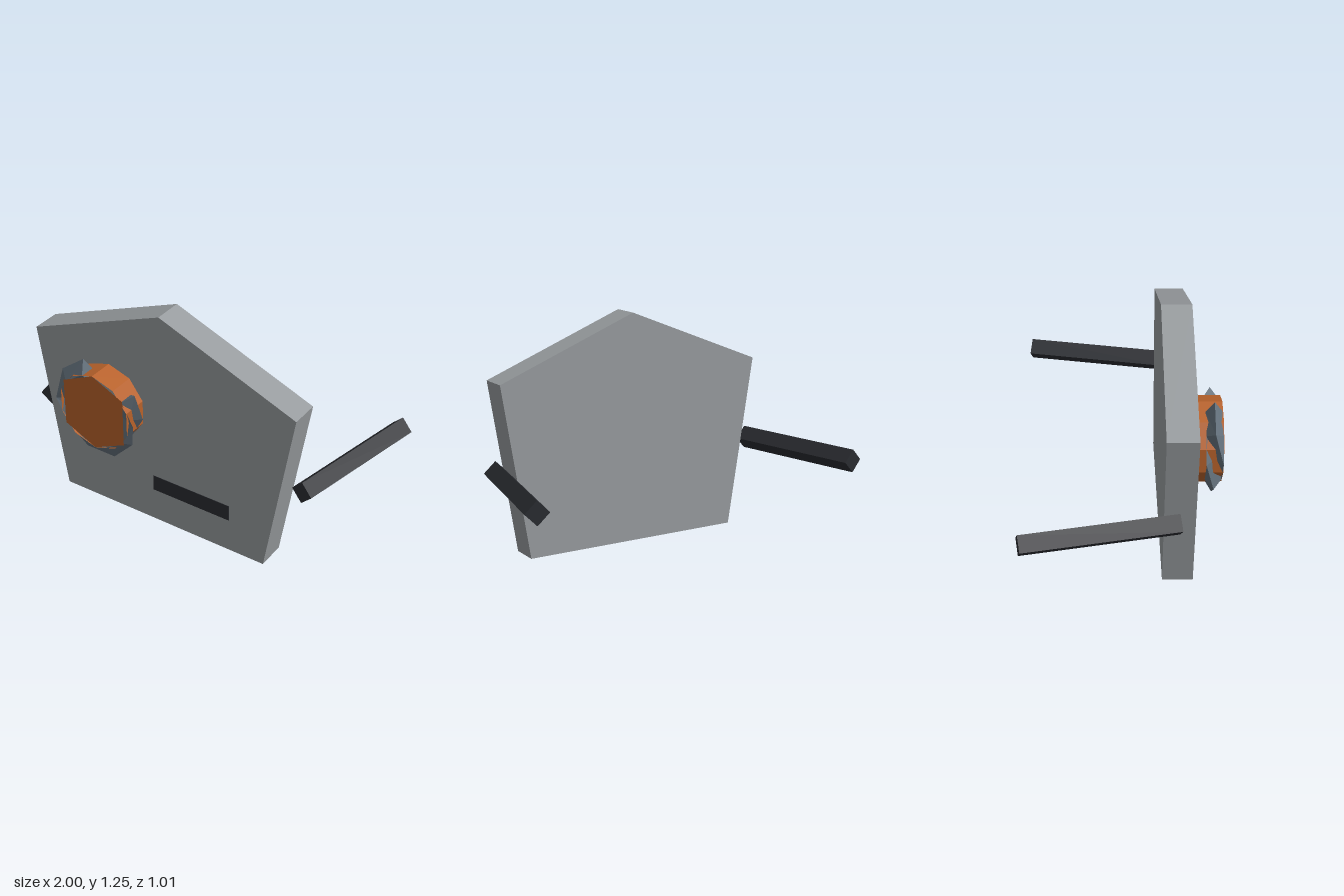
import * as THREE from 'three';

const paint = (color, side = THREE.FrontSide) =>
  new THREE.MeshStandardMaterial({ color, side, flatShading: true });

function add(parent, name, geometry, material) {
  const mesh = new THREE.Mesh(geometry, material);
  mesh.name = name;
  parent.add(mesh);
  return mesh;
}

const outline = (pts) => new THREE.Shape(pts.map(([x, y]) => new THREE.Vector2(x, y)));

// Jagged faceted band: each section is [angle in degrees, ridge radius, side radius]
function jaggedBand(sections, halfWidth) {
  const pos = [], idx = [];
  sections.forEach(([deg, ridge, side]) => {
    const a = THREE.MathUtils.degToRad(deg), c = Math.cos(a), s = Math.sin(a);
    [[side, halfWidth], [ridge, 0], [side, -halfWidth], [0.15, 0]].forEach(([r, z]) => pos.push(r * c, r * s, z));
  });
  for (let i = 0; i < sections.length - 1; i++) {
    for (let j = 0; j < 4; j++) {
      const a = i * 4 + j, b = i * 4 + (j + 1) % 4;
      idx.push(a, b, a + 4, b, b + 4, a + 4);
    }
  }
  // End caps
  const e = (sections.length - 1) * 4;
  idx.push(0, 2, 1, 0, 3, 2, e, e + 1, e + 2, e, e + 2, e + 3);
  const g = new THREE.BufferGeometry();
  g.setAttribute('position', new THREE.Float32BufferAttribute(pos, 3));
  g.setIndex(idx);
  g.computeVertexNormals();
  return g;
}

export function createModel() {
  const model = new THREE.Group();
  model.name = 'mask';
  const dark = paint(0x2a2c31);
  const orange = paint(0xb8622b);

  // Five-sided face plate
  const plate = new THREE.ExtrudeGeometry(
    outline([[-0.625, 0], [0.625, 0], [0.78, 0.94], [0, 1.25], [-0.78, 0.94]]),
    { depth: 0.157, bevelEnabled: false });
  plate.translate(0, 0, 0.21);
  add(model, 'facePlate', plate, paint(0x979b9e));

  // Thin mouth slot on the front
  add(model, 'mouthSlot', new THREE.BoxGeometry(0.467, 0.09, 0.004), dark).position.set(0.183, 0.237, 0.368);

  // Four-sided side arms, splayed outward to the back
  for (const s of [1, -1]) {
    const front = new THREE.Vector3(s * 0.782, 0.471, 0.284);
    const back = new THREE.Vector3(s * 0.938, 0.471, -0.492);
    const dir = back.clone().sub(front);
    const bar = new THREE.CylinderGeometry(0.062, 0.062, dir.length(), 4);
    bar.rotateX(-Math.PI / 2);
    const arm = add(model, s > 0 ? 'leftArm' : 'rightArm', bar, dark);
    arm.position.copy(front).add(back).multiplyScalar(0.5);
    arm.rotation.y = Math.atan2(dir.x, dir.z);
  }

  // Single eye: ten-sided barrel, six-sided lens and jagged rim
  const eye = new THREE.Group();
  eye.name = 'eye';
  eye.position.set(-0.315, 0.658, 0);
  model.add(eye);

  const barrel = new THREE.CylinderGeometry(0.2175, 0.2175, 0.142, 10, 1, true);
  barrel.rotateX(-Math.PI / 2);
  add(eye, 'eyeBarrel', barrel, paint(0xb8622b, THREE.DoubleSide)).position.z = 0.436;

  const lens = new THREE.ShapeGeometry(outline(
    [[0, 0.2175], [-0.185, 0.131], [-0.185, -0.131], [0, -0.2175], [0.185, -0.131], [0.185, 0.131]]));
  add(eye, 'eyeLens', lens, orange).position.z = 0.507;

  const rim = jaggedBand([
    [108, 0.28, 0.21], [144, 0.277, 0.215], [180, 0.19, 0.245], [218, 0.27, 0.215],
    [252, 0.281, 0.21], [288, 0.282, 0.21], [324, 0.253, 0.215], [360, 0.19, 0.245], [395, 0.28, 0.215],
  ], 0.042);
  add(eye, 'eyeRim', rim, paint(0x64717c, THREE.DoubleSide)).position.z = 0.462;

  return model;
}
